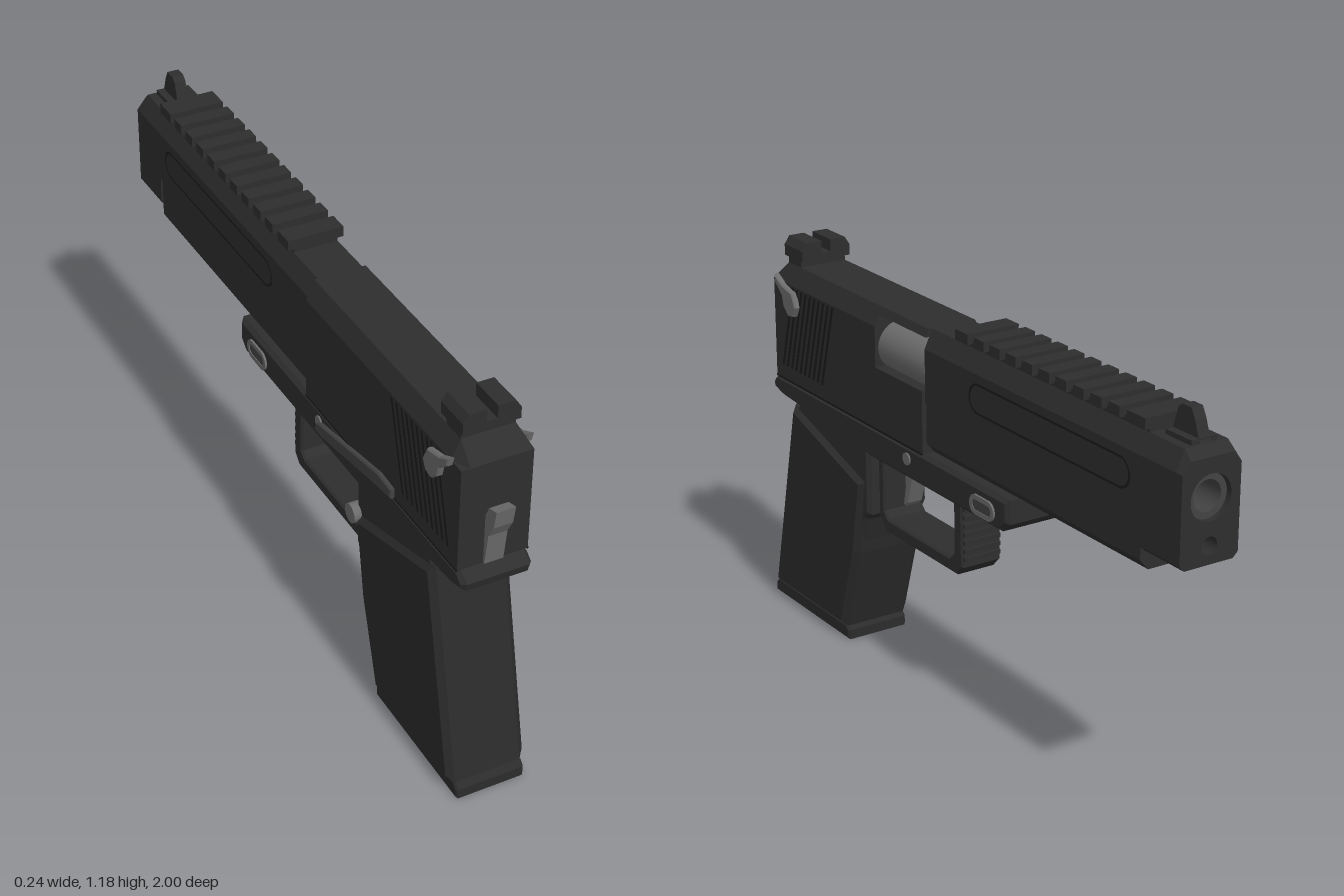
import * as THREE from 'three';

const mat = (name, color, side = THREE.FrontSide) => {
  const m = new THREE.MeshStandardMaterial({ color, side });
  m.name = name;
  return m;
};

export function createModel() {
  const root = new THREE.Group();
  root.name = 'pistol';
  const body = mat('blackMetal', 0x2e2e2e);
  const grip = mat('gripBlack', 0x2b2b2b);
  const groove = mat('grooveBlack', 0x1a1a1a);
  const steel = mat('steelGrey', 0x6c6c6c);
  const lever = mat('leverGrey', 0x434343);

  const add = (name, geo, material) => {
    const m = new THREE.Mesh(geo, material);
    m.name = name;
    root.add(m);
    return m;
  };
  const shapeOf = pts => new THREE.Shape(pts.map(p => new THREE.Vector2(...p)));
  const pathOf = pts => new THREE.Path(pts.map(p => new THREE.Vector2(...p)));

  // Side profile of [z, y] points, given a width across x
  const side = (name, shape, width, material, { x = 0, bevel = 0 } = {}) => {
    const s = Array.isArray(shape) ? shapeOf(shape) : shape;
    const depth = width - 2 * bevel;
    const g = new THREE.ExtrudeGeometry(s, {
      depth, bevelEnabled: bevel > 0, bevelSize: bevel, bevelThickness: bevel,
      bevelOffset: -bevel, bevelSegments: 1, curveSegments: 10,
    });
    g.translate(0, 0, -depth / 2).rotateY(-Math.PI / 2).translate(x, 0, 0);
    return add(name, g, material);
  };
  const bothSides = (name, shape, width, material, x, opt = {}) => {
    for (const s of [-1, 1]) side(name, shape, width, material, { ...opt, x: s * x });
  };

  // Cross-section of [x, y] points run from z0 to z1; lowerAt drops the top edge at one end
  const run = (name, shape, z0, z1, material, lowerAt, drop = 0) => {
    const s = Array.isArray(shape) ? shapeOf(shape) : shape;
    const g = new THREE.ExtrudeGeometry(s, { depth: z1 - z0, bevelEnabled: false, curveSegments: 24 });
    g.translate(0, 0, z0);
    if (lowerAt !== undefined) {
      const p = g.attributes.position;
      for (let i = 0; i < p.count; i++) {
        if (Math.abs(p.getZ(i) - lowerAt) < 1e-4 && p.getY(i) > 1.06) p.setY(i, p.getY(i) - drop);
      }
      g.computeVertexNormals();
    }
    return add(name, g, material);
  };
  const section = (w, bottom, chamfer = 0) => [
    [-w + chamfer, bottom], [w - chamfer, bottom], [w, bottom + chamfer], [w, 1.04],
    [w - 0.025, 1.095], [-w + 0.025, 1.095], [-w, 1.04], [-w, bottom + chamfer]];
  const pin = (name, r, len, x, y, z, material) =>
    add(name, new THREE.CylinderGeometry(r, r, len, 20).rotateZ(Math.PI / 2).translate(x, y, z), material);
  const stadium = (z0, z1, y0, y1) => {
    const r = (y1 - y0) / 2, s = new THREE.Shape();
    s.absarc(z1 - r, y0 + r, r, -Math.PI / 2, Math.PI / 2);
    s.absarc(z0 + r, y0 + r, r, Math.PI / 2, Math.PI * 1.5);
    s.closePath();
    return s;
  };
  const ring = (z0, z1, y0, y1, t) => {
    const s = stadium(z0, z1, y0, y1);
    s.holes.push(pathOf(stadium(z0 + t, z1 - t, y0 + t, y1 - t).getPoints(10).map(p => [p.x, p.y])));
    return s;
  };

  // Slide: sloped tail, rear, port section with a notch on the right, and front
  run('slideTail', section(0.1, 0.735), 0.9, 0.95, body, 0.95, 0.055);
  run('slideRear', section(0.1, 0.735), 0.375, 0.9, body);
  run('slidePort', [[-0.1, 0.735], [0.1, 0.735], [0.1, 0.92], [0.02, 0.92], [0.02, 1.072], [0.086, 1.072],
    [0.075, 1.095], [-0.075, 1.095], [-0.1, 1.04]], 0.13, 0.375, body);
  add('chamber', new THREE.CylinderGeometry(0.072, 0.072, 0.243, 28).rotateX(Math.PI / 2)
    .translate(0.018, 0.975, 0.2525), steel);
  run('slideFront', section(0.09, 0.885), -0.845, 0.13, body);
  run('dustCover', [[-0.06, 0.735], [0.06, 0.735], [0.086, 0.765], [0.086, 0.887], [-0.086, 0.887], [-0.086, 0.765]],
    -0.842, 0.13, body);

  // Nose with bore and guide rod holes
  const hole = (y, r) => new THREE.Path().absarc(0, y, r, 0, Math.PI * 2);
  const nose = () => {
    const s = shapeOf(section(0.09, 0.79, 0.015));
    s.holes.push(hole(0.965, 0.062), hole(0.84, 0.024));
    return s;
  };
  run('nose', nose(), -0.975, -0.845, body);
  run('noseTip', nose(), -1, -0.975, body, -1, 0.025);
  const barrel = new THREE.Shape().absarc(0, 0.965, 0.06, 0, Math.PI * 2);
  barrel.holes.push(hole(0.965, 0.042));
  run('barrel', barrel, -0.985, -0.85, lever);
  for (const [y, r] of [[0.965, 0.062], [0.84, 0.024]]) {
    add('boreEnd', new THREE.CircleGeometry(r, 24).rotateY(Math.PI).translate(0, y, -0.86), groove);
  }

  // Slide side details
  bothSides('sidePanelLine', ring(-0.8, -0.09, 0.93, 1.017, 0.006), 0.004, groove, 0.0905);
  for (let i = 0; i < 10; i++) {
    const z = 0.91 - i * 0.0255;
    bothSides('serration', [[z, 0.78], [z - 0.009, 0.78], [z - 0.079, 1.035], [z - 0.07, 1.035]], 0.004, groove, 0.1005);
  }
  bothSides('slideSeam', [[0.95, 0.732], [0.13, 0.732], [0.13, 0.738], [0.95, 0.738]], 0.004, groove, 0.1);

  // Top rail
  add('railBase', new THREE.BoxGeometry(0.13, 0.026, 0.83).translate(0, 1.1, -0.425), body);
  for (let i = 0; i < 12; i++) {
    const z = -0.07 - i * 0.0742;
    if (i === 0) add('railTooth', new THREE.BoxGeometry(0.165, 0.03, 0.06).translate(0, 1.12, -0.04), body);
    else add('railTooth', new THREE.BoxGeometry(0.165, 0.03, 0.045).translate(0, 1.12, Math.max(z + 0.02, -0.82)), body);
  }

  // Sights
  run('rearSight', [[-0.08, 1.115], [0.08, 1.115], [0.08, 1.148], [0.064, 1.172], [0.015, 1.172], [0.015, 1.135],
    [-0.015, 1.135], [-0.015, 1.172], [-0.064, 1.172], [-0.08, 1.148]], 0.81, 0.915, body);
  add('rearSightBase', new THREE.BoxGeometry(0.15, 0.04, 0.07).translate(0, 1.1, 0.865), body);
  side('frontSight', [[-0.862, 1.09], [-0.885, 1.165], [-0.9, 1.177], [-0.935, 1.177], [-0.95, 1.15], [-0.972, 1.09]],
    0.034, body);
  add('frontSightBase', new THREE.BoxGeometry(0.08, 0.02, 0.1).translate(0, 1.098, -0.917), body);

  // Frame with grip core
  side('frame', [[0.95, 0.735], [0.982, 0.71], [0.975, 0.685], [0.93, 0.672], [0.83, 0.665], [0.968, 0.045],
    [0.575, 0.045], [0.49, 0.31], [0.445, 0.43], [0.425, 0.45], [0.425, 0.635], [-0.25, 0.635], [-0.285, 0.665],
    [-0.285, 0.735]], 0.2, body, { bevel: 0.012 });

  // Grip panels and magazine base
  side('gripPanels', [[0.845, 0.67], [0.44, 0.55], [0.482, 0.31], [0.565, 0.042], [0.983, 0.042]],
    0.23, grip, { bevel: 0.018 });
  side('magazineBase', [[1, 0], [1, 0.03], [0.985, 0.045], [0.57, 0.045], [0.555, 0.03], [0.555, 0]],
    0.202, grip, { bevel: 0.005 });

  // Trigger guard with ribbed front
  const guard = shapeOf([[0.428, 0.65], [0.425, 0.445], [0.385, 0.405], [0.015, 0.405], [-0.015, 0.435], [-0.01, 0.65]]);
  guard.holes.push(pathOf([[0.396, 0.634], [0.03, 0.634], [0.03, 0.465], [0.05, 0.447], [0.375, 0.447], [0.396, 0.468]]));
  side('triggerGuard', guard, 0.13, body, { bevel: 0.006 });
  for (let i = 0; i < 7; i++) {
    add('guardRib', new THREE.BoxGeometry(0.12, 0.012, 0.012).translate(0, 0.46 + i * 0.025, -0.015), body);
  }
  side('trigger', [[0.345, 0.65], [0.295, 0.65], [0.298, 0.6], [0.33, 0.505], [0.345, 0.49], [0.356, 0.495],
    [0.345, 0.55]], 0.05, steel, { bevel: 0.004 });

  // Hammer
  side('hammer', [[0.94, 0.86], [0.965, 0.915], [1, 0.925], [0.99, 0.87], [0.968, 0.83], [0.956, 0.735], [0.94, 0.735]],
    0.054, steel);

  // Controls
  bothSides('safetyLever', [[0.918, 1.062], [0.875, 1.04], [0.815, 1.025], [0.795, 0.985], [0.81, 0.955], [0.84, 0.95],
    [0.868, 0.975], [0.875, 1.005], [0.912, 1.035]], 0.02, steel, 0.109, { bevel: 0.004 });
  for (const s of [-1, 1]) pin('framePin', 0.018, 0.008, s * 0.101, 0.697, 0.21, steel);
  bothSides('takedownRing', ring(-0.228, -0.112, 0.65, 0.708, 0.014), 0.012, steel, 0.1);
  bothSides('takedownFill', stadium(-0.216, -0.124, 0.662, 0.696), 0.008, lever, 0.1);
  side('slideStop', [[0.2, 0.675], [0.22, 0.705], [0.56, 0.77], [0.63, 0.765], [0.63, 0.735], [0.5, 0.715], [0.24, 0.67]],
    0.016, lever, { x: -0.105, bevel: 0.004 });
  pin('magazineButton', 0.028, 0.03, -0.107, 0.55, 0.43, steel);

  return root;
}
